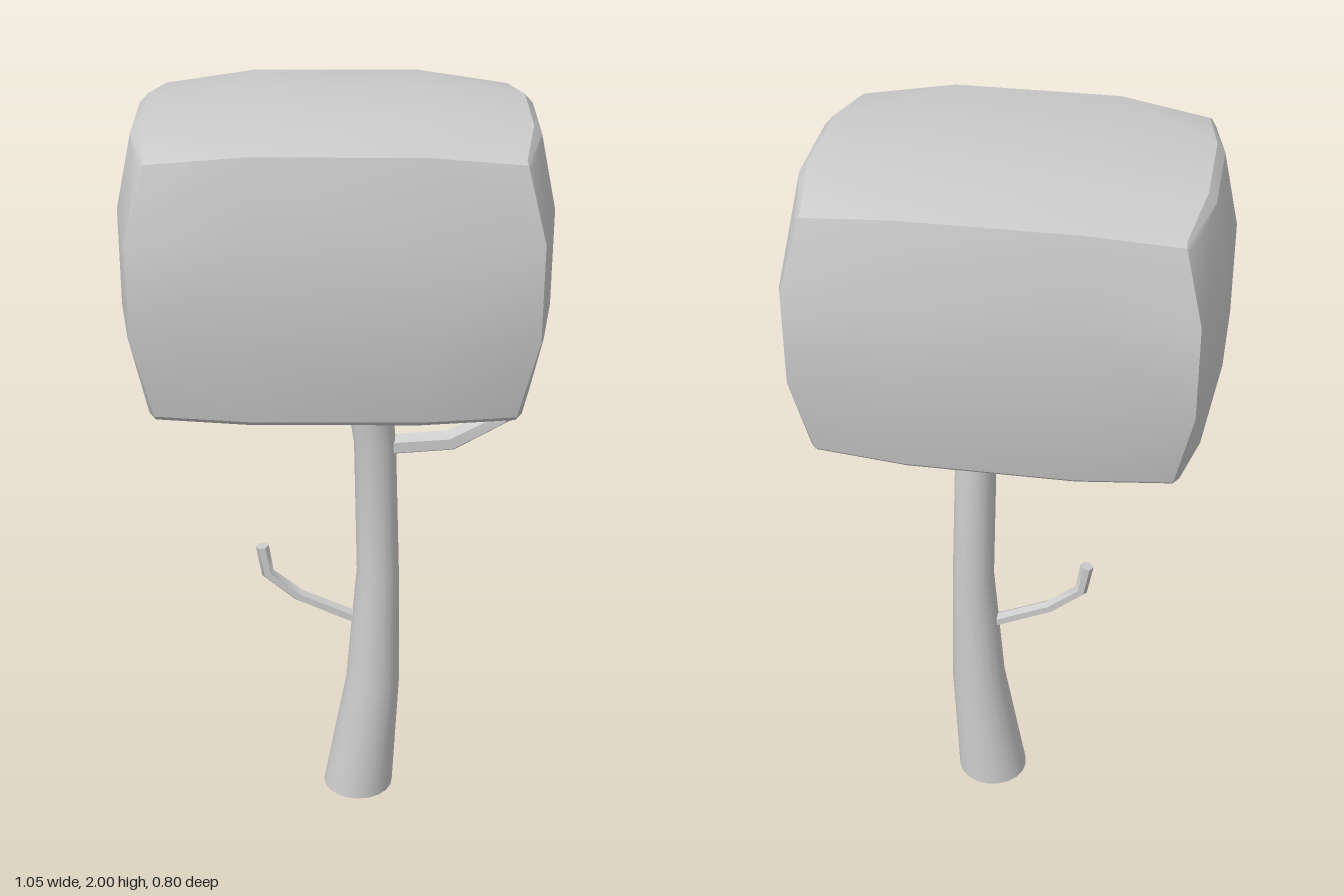
import * as THREE from 'three';
import { toCreasedNormals } from 'three/addons/utils/BufferGeometryUtils.js';
import { ConvexGeometry } from 'three/addons/geometries/ConvexGeometry.js';

const material = new THREE.MeshStandardMaterial({ color: 0xcccccc, side: THREE.DoubleSide });

// Skin rings along a path of [x, y, z, radius]; rings are level or square to the path
function loft(path, sides, level, crease) {
  const pos = [], index = [];
  path.forEach(([x, y, z, r], i) => {
    const a = path[Math.max(i - 1, 0)], b = path[Math.min(i + 1, path.length - 1)];
    const t = new THREE.Vector2(0, 1);
    if (!level) {
      const into = new THREE.Vector2(x - a[0], y - a[1]).normalize();
      const out = new THREE.Vector2(b[0] - x, b[1] - y).normalize();
      t.copy(into.add(out).normalize());
    }
    for (let j = 0; j < sides; j++) {
      const ang = (j / sides) * Math.PI * 2, c = r * Math.cos(ang);
      pos.push(x + t.y * c, y - t.x * c, z + r * Math.sin(ang));
      if (i === path.length - 1) continue;
      const p = i * sides + j, q = i * sides + (j + 1) % sides;
      index.push(p, p + sides, q, q, p + sides, q + sides);
    }
  });
  // Cap the far end
  const end = path.at(-1), first = (path.length - 1) * sides, centre = pos.length / 3;
  pos.push(end[0], end[1], end[2]);
  for (let j = 0; j < sides; j++) index.push(first + j, centre, first + (j + 1) % sides);
  const geometry = new THREE.BufferGeometry();
  geometry.setAttribute('position', new THREE.Float32BufferAttribute(pos, 3));
  geometry.setIndex(index);
  return toCreasedNormals(geometry, crease);
}

// Bulging box with bevelled edges: each side is a 4 x 4 net of points
function crownGeometry() {
  const points = [], steps = [-1, -0.5, 0.5, 1];
  const bulge = (s) => (Math.abs(s) < 1 ? 1 : 0);
  const place = (s, mid, edge) => Math.sign(s) * (Math.abs(s) < 1 ? mid : edge);
  for (const side of [-1, 1]) for (const u of steps) for (const v of steps) {
    const fu = bulge(u), fv = bulge(v);
    // Left and right: u runs up, v runs front to back
    points.push(new THREE.Vector3(
      side * (0.45 + 0.04 * fu + 0.035 * fv),
      u === 1 ? 1.932 + 0.023 * fv : u === -1 ? 1.315 - 0.02 * fv : 1.647 + place(u, 0.122, 0),
      place(v, 0.128, 0.312 + 0.03 * fu)));
    // Front and back: u runs across, v runs up
    points.push(new THREE.Vector3(
      place(u, 0.208, 0.437 + 0.045 * fv),
      v === 1 ? 1.945 + 0.028 * fu : v === -1 ? 1.314 : 1.647 + place(v, 0.122, 0),
      side * (0.33 + 0.03 * fu + 0.04 * fv)));
    // Top and bottom: u runs across, v runs front to back
    points.push(new THREE.Vector3(
      place(u, 0.205, 0.435 + 0.03 * fv),
      side > 0 ? 1.952 + 0.023 * fu + 0.025 * fv : 1.298 - 0.023 * fv,
      place(v, 0.128, 0.312 + 0.03 * fu)));
  }
  return toCreasedNormals(new ConvexGeometry(points), 0.42);
}

export function createModel() {
  const group = new THREE.Group();
  const add = (name, geometry) => {
    const mesh = new THREE.Mesh(geometry, material);
    mesh.name = name;
    group.add(mesh);
  };

  add('crown', crownGeometry());

  // Curving trunk, open at the ground
  add('trunk', loft([
    [0.063, 0, 0, 0.097], [0.102, 0.35, 0, 0.074], [0.113, 0.7, 0, 0.057],
    [0.102, 1.08, 0, 0.055], [0.078, 1.28, 0.025, 0.06], [0.065, 1.4, 0.04, 0.06],
  ], 20, true, 0.6));

  // Upper branch bends up into the crown
  add('upperBranch', loft([
    [0.1, 1.073, 0, 0.029], [0.3, 1.088, 0, 0.029],
    [0.427, 1.16, 0, 0.03], [0.428, 1.4, -0.06, 0.027],
  ], 6, false, 0.7));

  // Short bare branch on the other side
  add('lowerBranch', loft([
    [0.11, 0.52, 0, 0.019], [-0.1, 0.615, 0, 0.018],
    [-0.185, 0.685, 0, 0.018], [-0.199, 0.768, 0, 0.018],
  ], 6, false, 0.7));

  return group;
}
